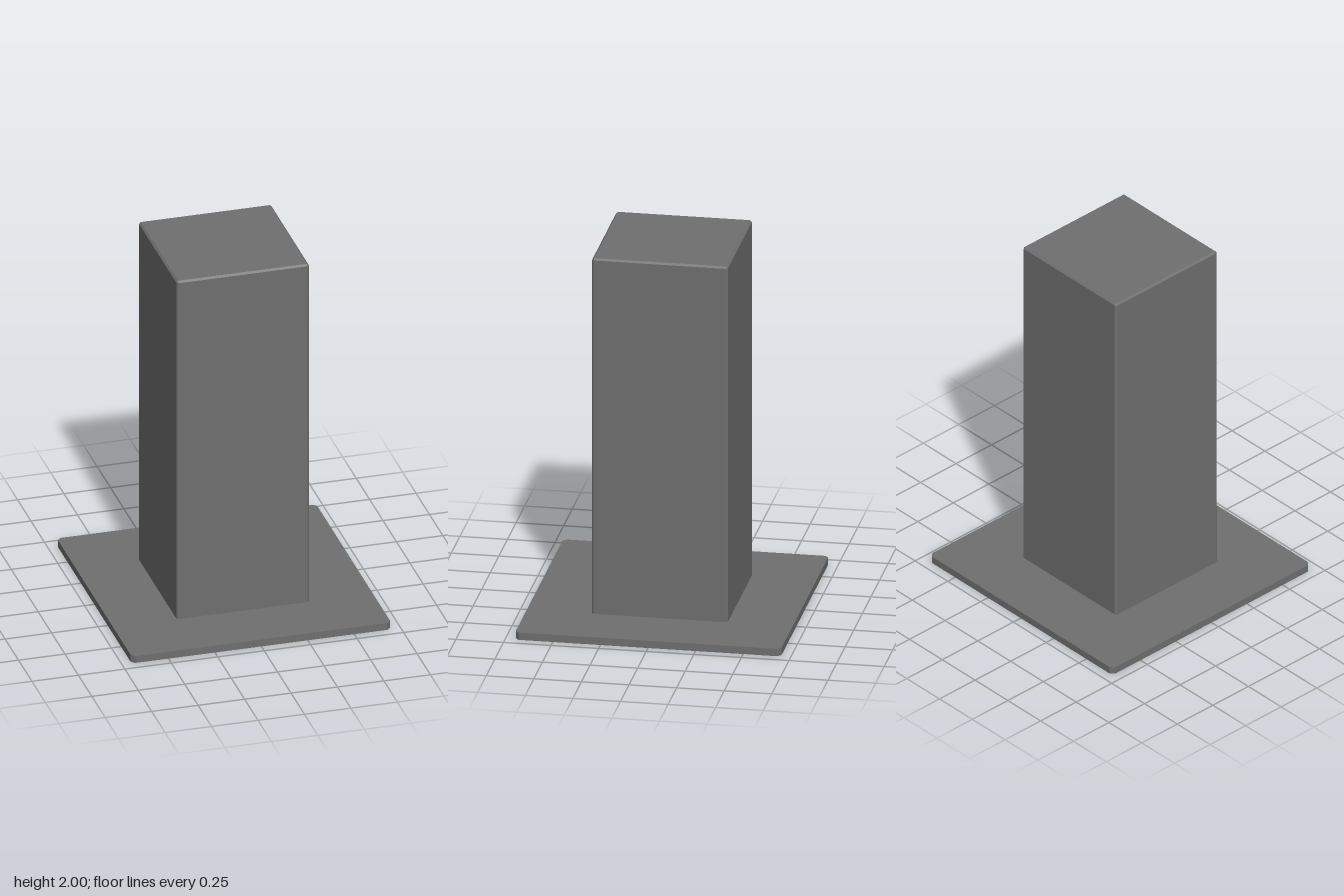
import * as THREE from 'three';
import { ConvexGeometry } from 'three/addons/geometries/ConvexGeometry.js';

const material = new THREE.MeshStandardMaterial({ color: 0x6f6f6f, flatShading: true });

// Box with every edge cut by a flat bevel
function bevelledBox(half, bottom, top, bevel) {
  const points = [];
  const mid = (bottom + top) / 2, halfHeight = (top - bottom) / 2;
  for (const sx of [-1, 1]) for (const sy of [-1, 1]) for (const sz of [-1, 1]) {
    // each corner becomes three points, one per adjoining face
    for (let face = 0; face < 3; face++) {
      const inset = [bevel, bevel, bevel];
      inset[face] = 0;
      points.push(new THREE.Vector3(
        sx * (half - inset[0]),
        mid + sy * (halfHeight - inset[1]),
        sz * (half - inset[2])
      ));
    }
  }
  return new ConvexGeometry(points);
}

// Flat square plate with clipped vertical corners
function clippedPlate(half, height, clip) {
  const a = half, b = half - clip;
  const outline = [[a, -b], [a, b], [b, a], [-b, a], [-a, b], [-a, -b], [-b, -a], [b, -a]];
  const shape = new THREE.Shape(outline.map(([x, y]) => new THREE.Vector2(x, y)));
  return new THREE.ExtrudeGeometry(shape, { depth: height, bevelEnabled: false }).rotateX(-Math.PI / 2);
}

export function createModel() {
  const model = new THREE.Group();
  model.name = 'pillarOnBase';

  const basePlate = new THREE.Mesh(clippedPlate(0.698, 0.04, 0.02), material);
  basePlate.name = 'basePlate';

  // The lower bevel is sunk into the plate
  const pillar = new THREE.Mesh(bevelledBox(0.357, 0.03, 2, 0.01), material);
  pillar.name = 'pillar';

  model.add(basePlate, pillar);
  return model;
}
